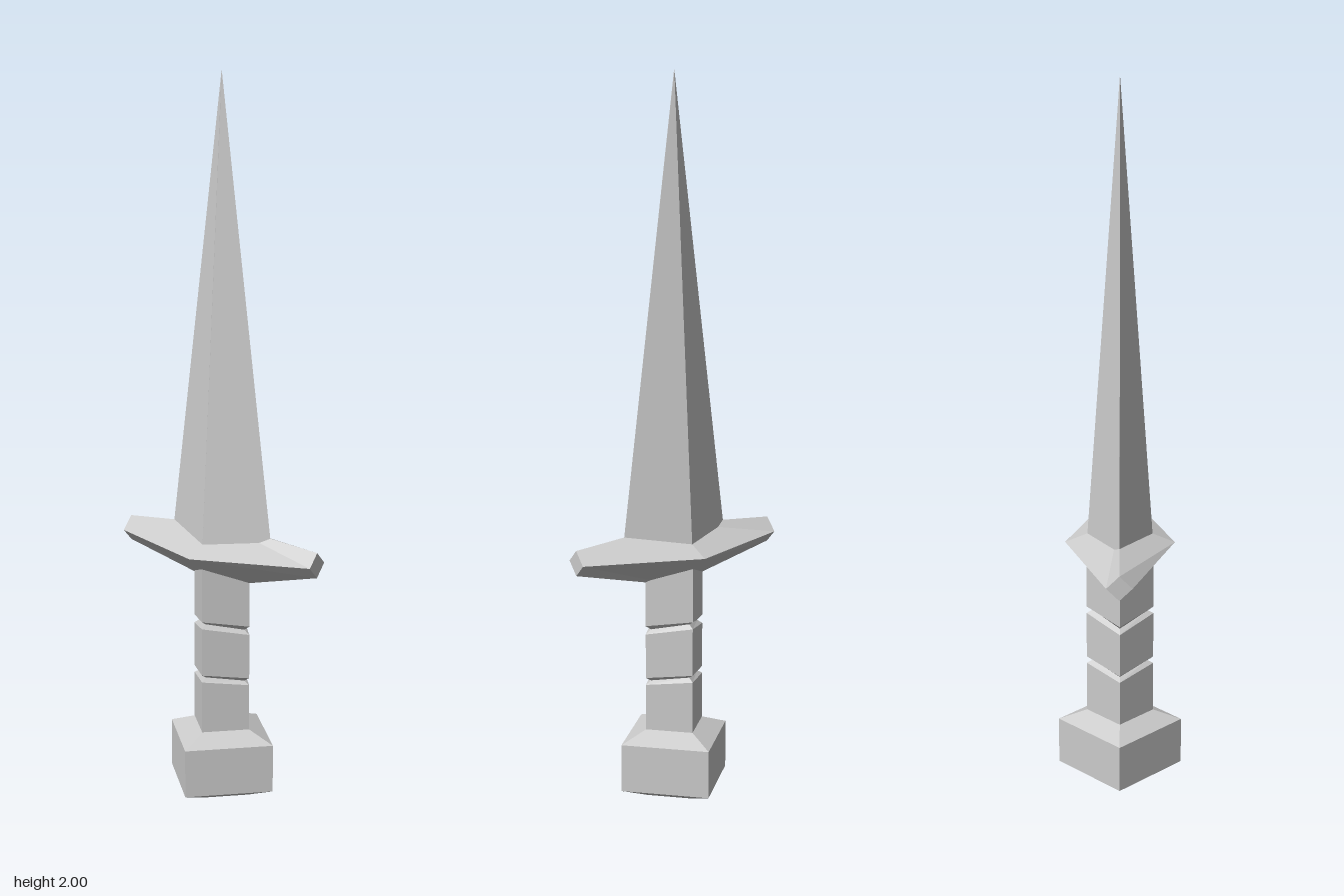
import * as THREE from 'three';

const material = new THREE.MeshStandardMaterial({ color: 0xcccccc, flatShading: true });

// Diamond ring with corners on the x and z axes; tilt lifts the z corners and lowers the x corners
const ring = (rx, rz, y, tilt = 0) => [
  [0, y + tilt, rz], [rx, y - tilt, 0], [0, y + tilt, -rz], [-rx, y - tilt, 0],
];

// Skin a row of four-cornered rings and cap both ends
function loft(name, rings) {
  const pos = rings.flat(2);
  const idx = [];
  for (let r = 0; r < rings.length - 1; r++) {
    for (let i = 0; i < 4; i++) {
      const a = r * 4 + i, b = r * 4 + (i + 1) % 4;
      idx.push(a, b, b + 4, a, b + 4, a + 4);
    }
  }
  const e = (rings.length - 1) * 4;
  idx.push(0, 2, 1, 0, 3, 2, e, e + 1, e + 2, e, e + 2, e + 3);
  const indexed = new THREE.BufferGeometry();
  indexed.setAttribute('position', new THREE.Float32BufferAttribute(pos, 3));
  indexed.setIndex(idx);
  const geometry = indexed.toNonIndexed();
  geometry.computeVertexNormals();
  const mesh = new THREE.Mesh(geometry, material);
  mesh.name = name;
  return mesh;
}

export function createModel() {
  const group = new THREE.Group();
  group.name = 'dagger';

  // Pommel: square block with bevelled top and bottom
  group.add(loft('pommel', [[0.09, 0], [0.173, 0.03], [0.173, 0.165], [0.093, 0.195]]
    .map(([r, y]) => ring(r, r, y))));

  // Grip: square bar with two slanted V grooves
  group.add(loft('grip', [
    [0.093, 0.18, 0],
    [0.093, 0.333, 0.008], [0.076, 0.343, 0.008], [0.093, 0.353, 0.008],
    [0.093, 0.483, 0.012], [0.076, 0.494, 0.011], [0.093, 0.505, 0.01],
    [0.093, 0.68, 0],
  ].map(([r, y, t]) => ring(r, r, y, t))));

  // Guard: diamond sections along x, widest in the middle
  const section = (x, z, bottom, top) => [[x, 0.71, -z], [x, top, 0], [x, 0.71, z], [x, bottom, 0]];
  group.add(loft('guard', [
    section(-0.311, 0.035, 0.675, 0.745),
    section(0, 0.151, 0.597, 0.773),
    section(0.311, 0.035, 0.675, 0.745),
  ]));

  // Blade: long four-sided spike
  group.add(loft('blade', [ring(0.168, 0.092, 0.7), ring(0.0005, 0.0005, 2)]));

  return group;
}
